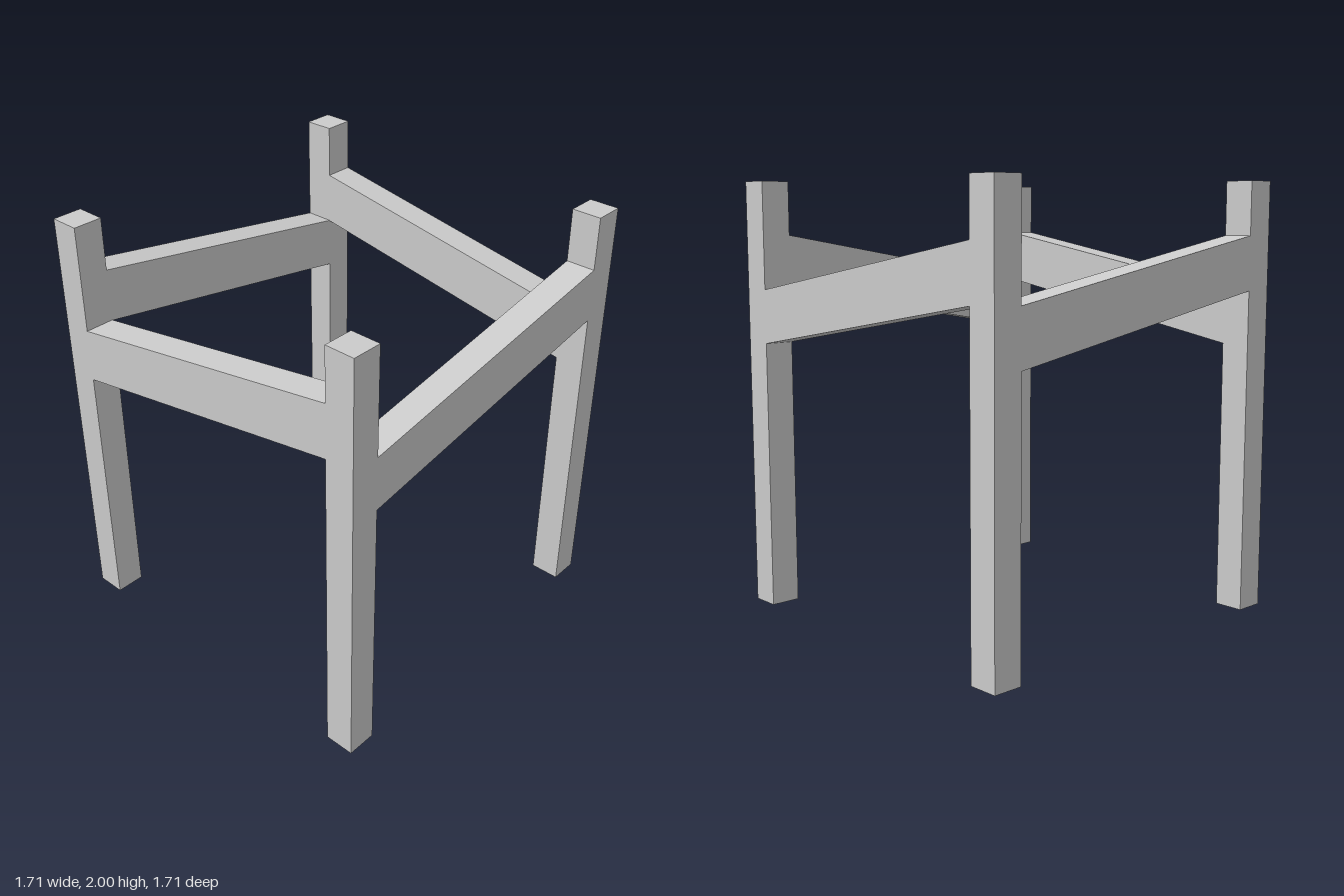
import * as THREE from 'three';

const OUTER = 0.855, INNER = 0.715, HEIGHT = 2;
const THICK = OUTER - INNER, MID = (OUTER + INNER) / 2;
const RAIL_Y = 1.504, RAIL_H = 0.25, RAIL_RISE = 0.248;

// Box sheared upward along x, so its ends stay vertical
function slopedRail() {
  const length = INNER * 2;
  const geo = new THREE.BoxGeometry(length, RAIL_H, THICK);
  const p = geo.attributes.position;
  for (let i = 0; i < p.count; i++) {
    p.setY(i, p.getY(i) + p.getX(i) * RAIL_RISE / length);
  }
  geo.computeVertexNormals();
  return geo.translate(0, RAIL_Y, MID);
}

export function createModel() {
  const model = new THREE.Group();
  model.name = 'tableFrame';
  const material = new THREE.MeshStandardMaterial({ color: 0xcccccc });
  const legGeo = new THREE.BoxGeometry(THICK, HEIGHT, THICK).translate(MID, HEIGHT / 2, MID);
  const railGeo = slopedRail();

  // One leg and one rail per side, repeated by quarter turns
  const sides = ['front', 'left', 'back', 'right'];
  const corners = ['frontLeft', 'backLeft', 'backRight', 'frontRight'];
  for (let i = 0; i < 4; i++) {
    const leg = new THREE.Mesh(legGeo, material);
    leg.name = corners[i] + 'Leg';
    const rail = new THREE.Mesh(railGeo, material);
    rail.name = sides[i] + 'Rail';
    leg.rotation.y = rail.rotation.y = i * Math.PI / 2;
    model.add(leg, rail);
  }
  return model;
}
